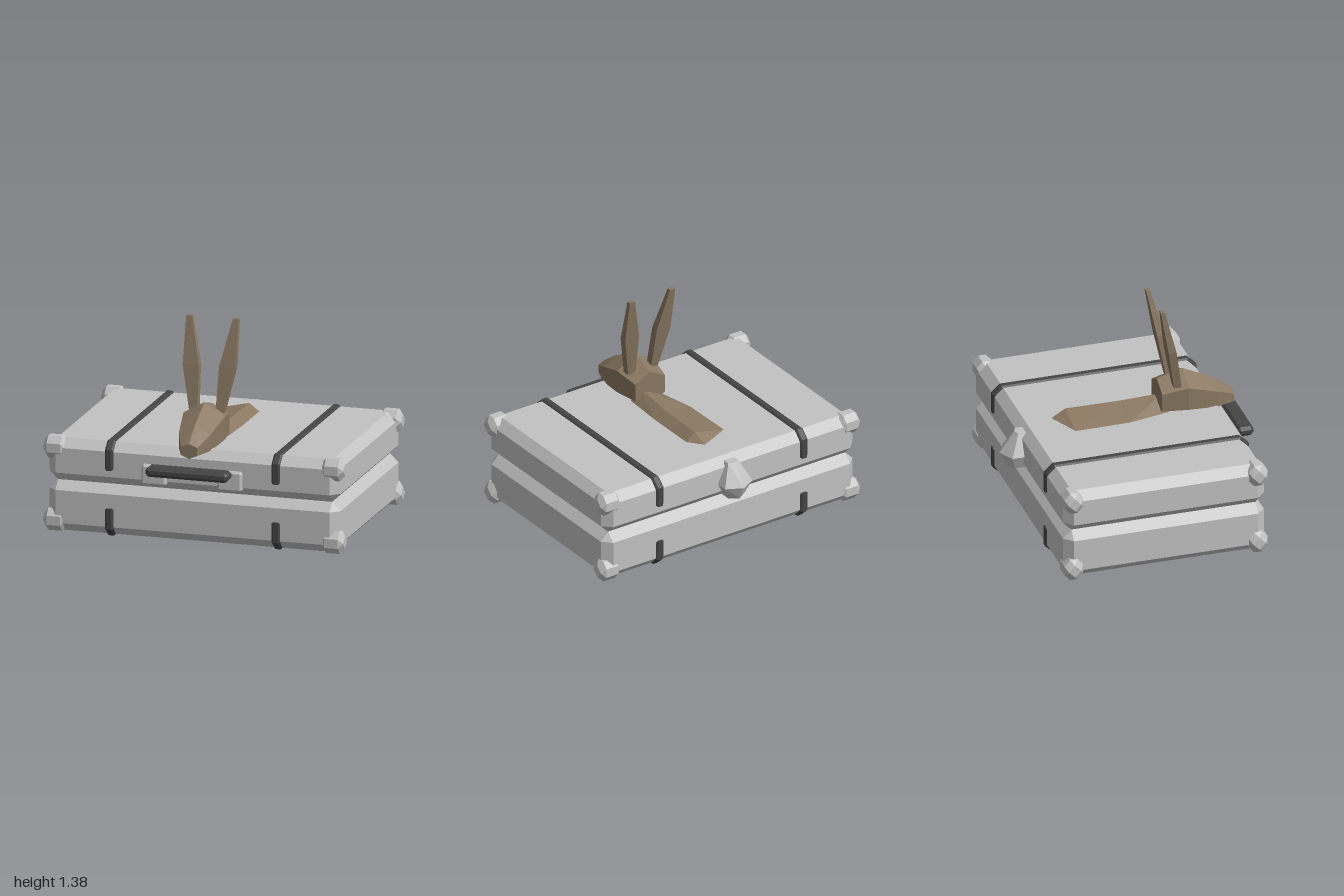
import * as THREE from 'three';
import { ConvexGeometry } from 'three/addons/geometries/ConvexGeometry.js';

const makeMaterial = (name, color) => {
  const m = new THREE.MeshStandardMaterial({ color });
  m.name = name;
  return m;
};

// Faceted solid around a list of [x, y, z] points
const hull = (points) => new ConvexGeometry(points.map((p) => new THREE.Vector3(...p)));

// Box with every edge cut by c, centred on the origin
function chamferBox(w, h, d, c) {
  const [x, y, z] = [w / 2, h / 2, d / 2];
  const points = [];
  for (const i of [-1, 1]) for (const j of [-1, 1]) for (const k of [-1, 1]) {
    points.push([i * x, j * (y - c), k * (z - c)], [i * (x - c), j * y, k * (z - c)], [i * (x - c), j * (y - c), k * z]);
  }
  return hull(points);
}

// Gem-like corner cap: octagonal barrel closing to a diamond at both x ends
function cornerGeometry() {
  const points = [];
  for (const s of [-1, 1]) {
    for (let i = 0; i < 8; i++) {
      const a = (i + 0.5) * Math.PI / 4;
      points.push([s * 0.045, 0.078 * Math.sin(a), 0.068 * Math.cos(a)]);
    }
    points.push([s * 0.075, 0.042, 0], [s * 0.075, -0.042, 0], [s * 0.075, 0, 0.042], [s * 0.075, 0, -0.042]);
  }
  return hull(points);
}

// U-shaped strap over the lid, running front to back
function strapGeometry() {
  const outer = [[0.67, 0.45], [0.67, 0.572], [0.618, 0.62], [-0.618, 0.62], [-0.67, 0.572], [-0.67, 0.45]];
  const inner = [[-0.64, 0.45], [-0.64, 0.56], [-0.605, 0.59], [0.605, 0.59], [0.64, 0.56], [0.64, 0.45]];
  const shape = new THREE.Shape([...outer, ...inner].map(([z, y]) => new THREE.Vector2(z, y)));
  const g = new THREE.ExtrudeGeometry(shape, {
    depth: 0.034, bevelEnabled: true, bevelThickness: 0.011, bevelSize: 0.01, bevelSegments: 1,
  });
  g.translate(0, 0, -0.017);
  g.rotateY(-Math.PI / 2); // profile x becomes z
  return g;
}

export function createModel() {
  const model = new THREE.Group();
  model.name = 'animalSuitcase';
  const shell = makeMaterial('light grey', 0xc2c2c2);
  const dark = makeMaterial('dark grey', 0x454545);
  const fur = makeMaterial('brown fur', 0x8a7862);

  const add = (name, geometry, material, x = 0, y = 0, z = 0, parent = model) => {
    const mesh = new THREE.Mesh(geometry, material);
    mesh.name = name;
    mesh.position.set(x, y, z);
    parent.add(mesh);
    return mesh;
  };

  // Two case halves
  add('lowerCase', chamferBox(1.94, 0.33, 1.34, 0.057), shell, 0, 0.175, 0);
  add('upperCase', chamferBox(1.94, 0.28, 1.34, 0.057), shell, 0, 0.48, 0);

  // Corner caps
  const corner = cornerGeometry();
  for (const x of [-0.925, 0.925]) for (const z of [-0.615, 0.615]) {
    add('lowerCorner', corner, shell, x, 0.08, z);
    add('upperCorner', corner, shell, x, 0.558, z);
  }

  // Straps over the lid and, turned over, under the base
  const strap = strapGeometry();
  for (const x of [-0.555, 0.555]) {
    add('upperStrap', strap, dark, x);
    add('lowerStrap', strap, dark, x, 0.63, 0).rotation.z = Math.PI;
  }

  // Handle and its mounting plates
  add('handle', chamferBox(0.55, 0.065, 0.11, 0.02), dark, 0, 0.488, 0.755);
  for (const x of [-0.252, 0.252]) {
    add('handleMount', chamferBox(0.165, 0.135, 0.06, 0.014), shell, x, 0.438, 0.665);
  }

  // Faceted tail on the back: pentagonal rings [y, half width, tip z, shoulder z, inner z]
  const tailRings = [
    [0.595, 0.04, -0.705, -0.69, -0.64],
    [0.455, 0.105, -0.805, -0.75, -0.64],
    [0.36, 0.06, -0.76, -0.72, -0.64],
  ];
  add('tail', hull(tailRings.flatMap(([y, w, tip, shoulder, inner]) => [
    [0, y, tip], [-w, y, shoulder], [w, y, shoulder], [-w, y, inner], [w, y, inner],
  ])), shell);

  const animal = new THREE.Group();
  animal.name = 'animal';
  model.add(animal);

  // Low back rising out of the lid: [z, left edge, ridge x, ridge y, right edge]
  const backSections = [
    [0.3, -0.1, 0.04, 0.687, 0.115],
    [0, -0.165, 0.055, 0.67, 0.13],
    [-0.345, -0.17, 0.06, 0.67, 0.13],
  ];
  const backPoints = ([z, l, rx, ry, r]) => [[l, 0.618, z], [rx, ry, z], [r, 0.618, z], [l, 0.55, z], [r, 0.55, z]];
  const tailEnd = [[0.05, 0.621, -0.44], [0.05, 0.55, -0.44]];
  add('backFront', hull([...backPoints(backSections[0]), ...backPoints(backSections[1])]), fur, 0, 0, 0, animal);
  add('backRear', hull([...backPoints(backSections[1]), ...backPoints(backSections[2]), ...tailEnd]), fur, 0, 0, 0, animal);

  // Head, hexagonal sections: [z, half width, top y, upper side y, lower side y, bottom y]
  const headSections = [
    [0.745, 0.055, 0.68, 0.658, 0.605, 0.582],
    [0.62, 0.105, 0.77, 0.718, 0.61, 0.57],
    [0.415, 0.14, 0.87, 0.792, 0.638, 0.58],
    [0.245, 0.115, 0.82, 0.76, 0.64, 0.59],
  ];
  add('head', hull(headSections.flatMap(([z, w, top, high, low, bottom]) => [
    [0, top, z], [w, high, z], [w, low, z], [0, bottom, z], [-w, low, z], [-w, high, z],
  ])), fur, 0, 0, 0, animal);

  // Tall ears: [y, inner x, outer x, back z, front z]
  const earSections = [
    [0.795, 0.06, 0.115, 0.325, 0.375],
    [1.085, 0.068, 0.175, 0.27, 0.322],
    [1.385, 0.135, 0.175, 0.218, 0.245],
  ];
  for (const side of [-1, 1]) {
    add(side > 0 ? 'leftEar' : 'rightEar', hull(earSections.flatMap(([y, a, b, z0, z1]) => [
      [side * a, y, z0], [side * b, y, z0], [side * a, y, z1], [side * b, y, z1],
    ])), fur, 0, 0, 0, animal);
  }
  return model;
}
